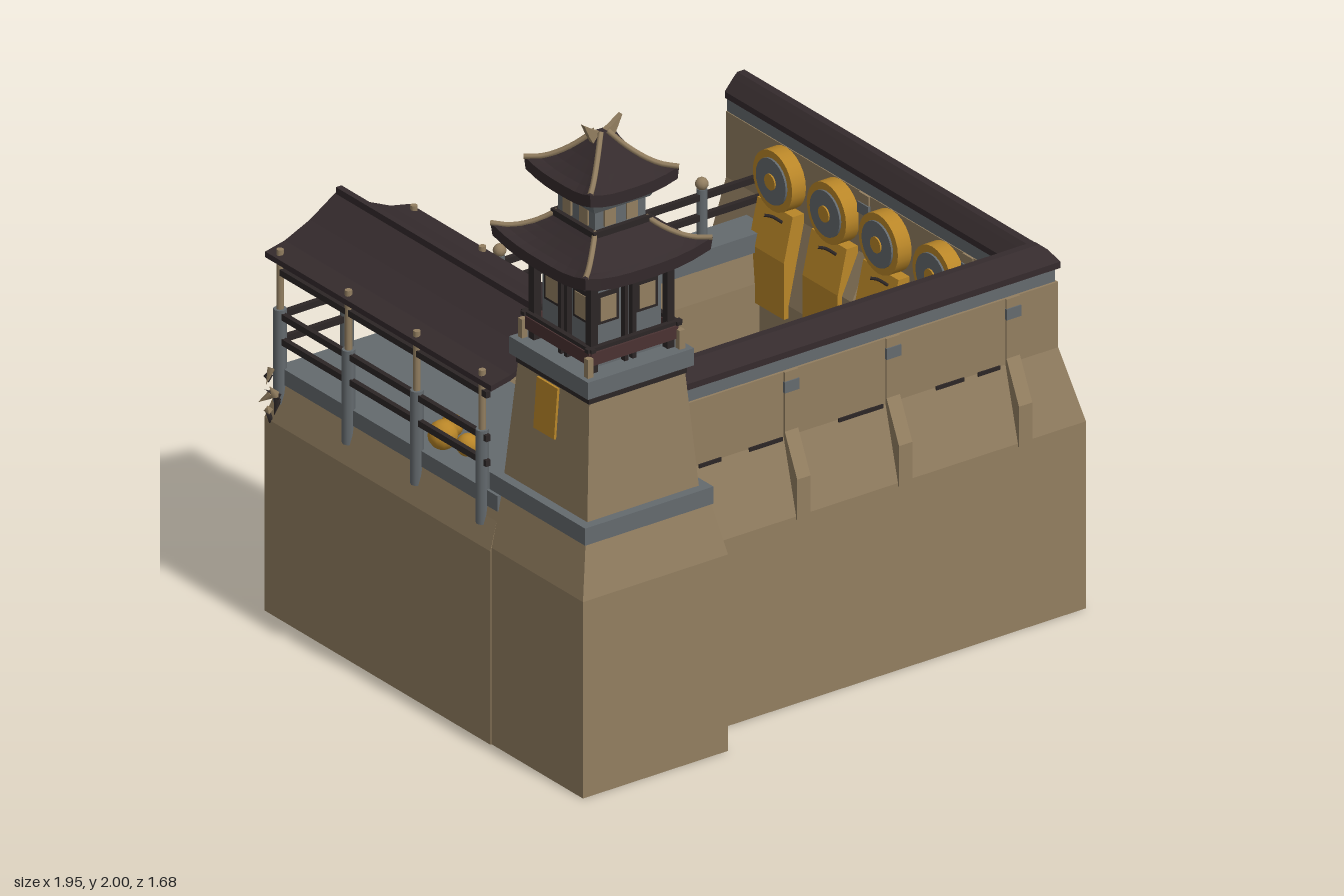
import * as THREE from 'three';

const paint = (name, color) => Object.assign(new THREE.MeshStandardMaterial({ color }), { name });

export function createModel() {
  const tan = paint('sandstone', 0x927e60), grey = paint('grey stone', 0x646a6e);
  const dark = paint('dark tile', 0x352b2d), wood = paint('dark wood', 0x2c2626);
  const gold = paint('gold', 0xb98628), maroon = paint('red brown wood', 0x4a3232);
  const root = new THREE.Group();

  function add(name, geo, mat, parent = root) {
    const m = new THREE.Mesh(geo, mat);
    m.name = name;
    parent.add(m);
    return m;
  }
  // closed, flat shaded solid from rings of equal point count
  function loft(rings) {
    const pos = [], n = rings[0].length, tri = (...p) => p.forEach(v => pos.push(...v));
    for (let r = 0; r + 1 < rings.length; r++) for (let i = 0; i < n; i++) {
      const j = (i + 1) % n, a = rings[r], b = rings[r + 1];
      tri(a[i], a[j], b[j], a[i], b[j], b[i]);
    }
    const lo = rings[0], hi = rings[rings.length - 1];
    for (let i = 1; i + 1 < n; i++) tri(hi[0], hi[i], hi[i + 1], lo[0], lo[i + 1], lo[i]);
    const g = new THREE.BufferGeometry();
    g.setAttribute('position', new THREE.Float32BufferAttribute(pos, 3));
    g.computeVertexNormals();
    return g;
  }
  // levels: [y, x0, x1, z0, z1]
  const stack = levels => loft(levels.map(([y, a, b, c, d]) => [[a, y, d], [b, y, d], [b, y, c], [a, y, c]]));
  const box = (name, x0, x1, y0, y1, z0, z1, mat, parent) =>
    add(name, stack([[y0, x0, x1, z0, z1], [y1, x0, x1, z0, z1]]), mat, parent);
  const square = (name, levels, mat, parent) =>
    add(name, stack(levels.map(([y, h]) => [y, -h, h, -h, h])), mat, parent);
  function post(name, r, x, z, y0, y1, mat, sides = 8) {
    add(name, new THREE.CylinderGeometry(r, r, y1 - y0, sides), mat).position.set(x, (y0 + y1) / 2, z);
  }
  // profile in x,y swept along z
  function sweep(pts, z0, z1) {
    const s = new THREE.Shape(pts.map(p => new THREE.Vector2(...p)));
    return new THREE.ExtrudeGeometry(s, { depth: z1 - z0, bevelEnabled: false }).translate(0, 0, z0);
  }
  const tube = (pts, r, sides = 5) => new THREE.TubeGeometry(
    new THREE.CatmullRomCurve3(pts.map(p => new THREE.Vector3(...p))), 10, r, sides);

  // perimeter walls: battered foot, thin upper wall, grey band, tiled coping
  add('frontWall', stack([[0, -0.5, 0.965, 0.49, 0.71], [0.6, -0.5, 0.965, 0.49, 0.71],
    [0.83, -0.5, 0.91, 0.55, 0.65], [1.04, -0.5, 0.91, 0.55, 0.65]]), tan);
  add('sideWall', stack([[0, 0.75, 0.965, -0.84, 0.71], [0.58, 0.75, 0.965, -0.84, 0.71],
    [0.83, 0.805, 0.91, -0.81, 0.65], [1.04, 0.805, 0.91, -0.81, 0.65]]), tan);
  box('frontWallBand', -0.5, 0.905, 1.04, 1.085, 0.546, 0.642, grey);
  box('sideWallBand', 0.808, 0.905, 1.04, 1.085, -0.81, 0.642, grey);
  add('frontCoping', stack([[1.085, -0.49, 0.915, 0.54, 0.655], [1.105, -0.49, 0.915, 0.54, 0.655],
    [1.14, -0.49, 0.89, 0.57, 0.625], [1.155, -0.49, 0.87, 0.585, 0.61]]), dark);
  add('sideCoping', stack([[1.085, 0.8, 0.915, -0.81, 0.655], [1.105, 0.8, 0.915, -0.81, 0.655],
    [1.14, 0.83, 0.885, -0.81, 0.62], [1.155, 0.845, 0.87, -0.81, 0.61]]), dark);

  // buttresses, built facing +x then turned into place
  const rib = [[-0.02, 0.59], [0.065, 0.59], [0.065, 0.72], [0.005, 0.85], [0.005, 1.04], [-0.02, 1.04]];
  function buttress(x, z, turn) {
    const g = new THREE.Group();
    g.name = 'buttress';
    add('buttressRib', sweep(rib, -0.024, 0.024), tan, g);
    box('buttressCap', -0.02, 0.009, 0.975, 1.01, -0.026, 0.026, grey, g);
    g.position.set(x, 0, z);
    g.rotation.y = turn;
    root.add(g);
  }
  for (const x of [-0.05, 0.315, 0.745]) buttress(x, 0.65, -Math.PI / 2);
  for (const z of [0.55, 0.125, -0.345, -0.785]) buttress(0.91, z, 0);
  for (const x of [-0.05, 0.42]) buttress(x, 0.55, Math.PI / 2);
  for (const z of [0.36, -0.14]) buttress(0.805, z, Math.PI);

  // dark weathering along the wall step
  for (const [x, w] of [[-0.38, 0.08], [-0.2, 0.12], [0.12, 0.16], [0.47, 0.1], [0.62, 0.08]])
    box('frontStain', x, x + w, 0.822, 0.834, 0.647, 0.655, wood);
  for (const [z, w] of [[-0.7, 0.12], [-0.2, 0.22], [0.25, 0.25]])
    box('sideStain', 0.906, 0.914, 0.822, 0.834, z, z + w, wood);
  for (const [x, w] of [[0.06, 0.16], [0.37, 0.16]])
    box('innerStain', x, x + w, 0.825, 0.85, 0.543, 0.552, wood);

  // bare climbing branch on the inner face of the front wall
  add('branch', tube([[0.1, 0.93, 0.535], [0.18, 0.97, 0.52], [0.25, 0.97, 0.53], [0.33, 1.0, 0.53]], 0.008), wood);
  for (let i = 0; i < 6; i++) {
    const x = 0.12 + i * 0.035, up = i % 2 ? 1 : -1;
    add('twig', tube([[x, 0.96, 0.525], [x + 0.02, 0.96 + up * 0.03, 0.515], [x + 0.045, 0.96 + up * 0.055, 0.53]], 0.006), wood);
  }

  // four round gongs with gold drapes on the side wall
  for (const z of [-0.52, -0.26, -0.01, 0.25]) {
    const disc = (name, r, d, x, mat) => {
      const m = add(name, new THREE.CylinderGeometry(r, r, d, 24), mat);
      m.rotation.z = Math.PI / 2;
      m.position.set(x, 0.945, z);
    };
    disc('gongRim', 0.095, 0.055, 0.783, gold);
    disc('gongFace', 0.072, 0.008, 0.753, grey);
    disc('gongBoss', 0.025, 0.012, 0.75, gold);
    add('drape', sweep([[0.81, 0.86], [0.765, 0.86], [0.733, 0.72], [0.733, 0.54],
      [0.755, 0.54], [0.755, 0.6], [0.81, 0.83]], z - 0.085, z + 0.085), gold);
    add('mallet', tube([[0.745, 0.84, z + 0.06], [0.72, 0.86, z + 0.045], [0.695, 0.87, z + 0.04]], 0.005), wood);
  }

  // low back wall with railing
  add('backWall', stack([[0, -0.18, 0.78, -0.69, -0.575], [0.6, -0.18, 0.78, -0.69, -0.575],
    [0.7, -0.165, 0.82, -0.68, -0.585]]), tan);
  box('backLedge', -0.178, 0.82, 0.7, 0.76, -0.69, -0.575, grey);
  for (const x of [-0.13, 0.115, 0.355, 0.595]) {
    post('railPost', 0.016, x, -0.645, 0.76, 0.92, grey);
    add('postCap', new THREE.SphereGeometry(0.02, 10, 8), tan).position.set(x, 0.935, -0.645);
  }
  for (const y of [0.83, 0.895]) box('backRail', -0.13, 0.82, y - 0.01, y + 0.01, -0.653, -0.637, wood);

  // pavilion base and deck
  const px = -0.677;
  add('pavilionBase', stack([[0, -0.94, -0.415, -0.69, 0.4], [0.62, -0.94, -0.415, -0.69, 0.4],
    [0.74, -0.91, -0.445, -0.655, 0.4]]), tan);
  box('pavilionDeck', -0.915, -0.44, 0.74, 0.79, -0.66, 0.4, grey);
  // pavilion posts and rails
  const postZ = [-0.645, -0.315, 0.015, 0.33];
  for (const s of [-1, 1]) for (const z of postZ) {
    post('postFoot', 0.02, px + s * 0.24, z, 0.68, 0.98, grey);
    post('pavilionPost', 0.011, px + s * 0.24, z, 0.98, 1.17, tan);
  }
  post('middlePostFoot', 0.02, px, -0.645, 0.68, 0.98, grey);
  post('middlePost', 0.011, px, -0.645, 0.98, 1.25, tan);
  for (const y of [0.88, 0.96, 1.1]) {
    for (const s of [-1, 1]) box('sideRail', px + s * 0.24 - 0.008, px + s * 0.24 + 0.008, y - 0.01, y + 0.01, -0.645, 0.36, wood);
    box('endRail', px - 0.24, px + 0.24, y - 0.01, y + 0.01, -0.653, -0.637, wood);
  }
  // pavilion roof: sagging gable
  const slope = [[0.26, 1.15], [0.19, 1.165], [0.1, 1.205], [0, 1.27]];
  const over = [...slope, ...slope.slice(0, 3).reverse().map(([x, y]) => [-x, y])];
  const under = [...over].reverse().map(([x, y]) => [x, y - 0.018]);
  add('pavilionRoof', sweep([...over, ...under].map(([x, y]) => [x + px, y]), -0.69, 0.4), dark);
  box('pavilionRidge', px - 0.01, px + 0.01, 1.255, 1.285, -0.685, 0.4, dark);
  // gold pots and a dry plant at the corner
  for (const [x, z, r] of [[-0.85, 0.05, 0.045], [-0.82, 0.13, 0.035], [-0.78, 0.0, 0.035]])
    add('pot', new THREE.SphereGeometry(r, 12, 8), gold).position.set(x, 0.785 + r, z);
  for (let i = 0; i < 8; i++) {
    const m = add('plantLeaf', new THREE.ConeGeometry(0.014, 0.05, 4), i % 2 ? tan : wood);
    m.position.set(-0.945 - 0.013 * (i % 2), 0.64 + i * 0.019, -0.645 + 0.018 * ((i % 3) - 1));
    m.rotation.set(i * 1.3, 0, 0.6);
  }

  // corner tower
  const tower = new THREE.Group();
  tower.name = 'tower';
  tower.position.set(-0.675, 0, 0.58);
  root.add(tower);
  square('towerBase', [[0, 0.26], [0.63, 0.26], [0.79, 0.225]], tan, tower);
  square('lowerBand', [[0.79, 0.23], [0.845, 0.23]], grey, tower);
  square('towerShaft', [[0.845, 0.2], [1.23, 0.17]], tan, tower);
  square('shaftTrim', [[1.205, 0.176], [1.22, 0.176]], wood, tower);
  square('upperBand', [[1.23, 0.19], [1.285, 0.19]], grey, tower);
  const plaque = box('goldPlaque', -0.004, 0.004, -0.08, 0.08, -0.05, 0.05, gold, tower);
  plaque.position.set(-0.183, 1.12, -0.02);
  plaque.rotation.z = -0.078;

  // tower room with railing, posts and windows
  square('towerRoom', [[1.285, 0.122], [1.6, 0.122]], grey, tower);
  square('headBeam', [[1.54, 0.145], [1.575, 0.145]], wood, tower);
  for (let k = 0; k < 4; k++) {
    const side = new THREE.Group();
    side.name = 'towerSide';
    side.rotation.y = k * Math.PI / 2;
    tower.add(side);
    box('cornerPost', -0.15, -0.125, 1.285, 1.57, 0.125, 0.15, wood, side);
    for (const s of [-1, 1]) {
      box('innerPost', s * 0.014 - 0.007, s * 0.014 + 0.007, 1.285, 1.57, 0.12, 0.14, wood, side);
      box('windowFrame', s * 0.07 - 0.038, s * 0.07 + 0.038, 1.42, 1.52, 0.12, 0.126, wood, side);
      box('window', s * 0.07 - 0.028, s * 0.07 + 0.028, 1.43, 1.505, 0.122, 0.129, tan, side);
      box('upperWindow', s * 0.04 - 0.02, s * 0.04 + 0.02, 1.71, 1.77, 0.085, 0.096, tan, side);
    }
    box('railing', -0.155, 0.155, 1.315, 1.355, 0.148, 0.16, maroon, side);
    box('railTop', -0.17, 0.17, 1.36, 1.372, 0.146, 0.162, wood, side);
    box('railingEnd', -0.175, -0.155, 1.285, 1.345, 0.15, 0.17, tan, side);
  }

  // upturned four sided roof with tan hips
  function roof(name, half, top, y0, y1, lift) {
    const pt = (t, k, s) => {
      const c = Math.abs(s) ** 3 * (1 - t) ** 2;
      const h = half + (top - half) * t, out = h * (1 + 0.05 * c);
      const y = y0 + (y1 - y0) * t ** 1.45 + lift * c;
      return [[s * out, y, out], [out, y, -s * out], [-s * out, y, -out], [-out, y, s * out]][k];
    };
    const ring = t => Array.from({ length: 32 }, (_, i) => pt(t, i >> 3, (i % 8) / 4 - 1));
    const lower = (r, f, d) => r.map(([x, y, z]) => [x * f, y - d, z * f]);
    const rings = [0, 0.2, 0.4, 0.6, 0.8, 1].map(ring);
    add(name, loft([lower(rings[0], 0.5, 0.03), lower(rings[0], 0.98, 0.04), ...rings]), dark, tower);
    for (let k = 0; k < 4; k++)
      add('hipRidge', tube([0, 0.25, 0.5, 0.75, 1].map(t => pt(t, k, 1)), 0.009, 6), tan, tower);
  }
  roof('lowerRoof', 0.218, 0.09, 1.61, 1.7, 0.035);
  square('upperFloor', [[1.685, 0.105], [1.705, 0.105]], wood, tower);
  square('upperRoom', [[1.69, 0.09], [1.83, 0.09]], grey, tower);
  square('upperBracket', [[1.765, 0.1], [1.8, 0.118], [1.815, 0.118]], grey, tower);
  roof('upperRoof', 0.152, 0.012, 1.84, 1.965, 0.025);
  // horned ridge
  add('ridgeHorns', sweep([[-0.03, 1.925], [0.03, 1.925], [0.05, 1.96], [0.068, 2.0], [0.03, 1.975],
    [0, 1.96], [-0.03, 1.975], [-0.068, 2.0], [-0.05, 1.96]], -0.009, 0.009), tan, tower);
  return root;
}
